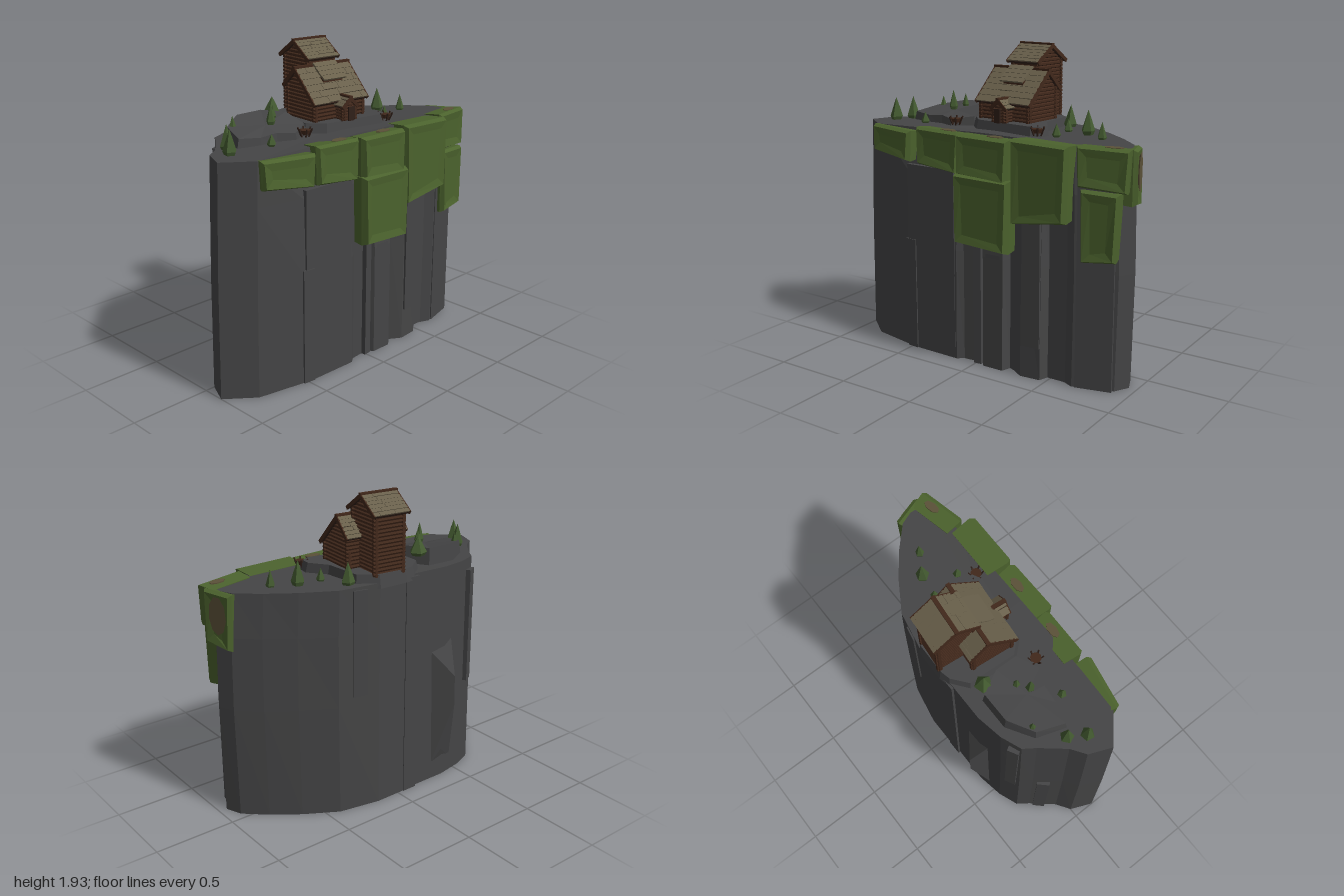
import * as THREE from 'three';
import { mergeGeometries } from 'three/addons/utils/BufferGeometryUtils.js';
import { ConvexGeometry } from 'three/addons/geometries/ConvexGeometry.js';

const mat = (name, color) => Object.assign(new THREE.MeshStandardMaterial({ color, flatShading: true }), { name });

export function createModel() {
  const model = new THREE.Group();
  const rock = mat('rock', 0x454546), moss = mat('moss', 0x4b622d), earth = mat('earth', 0x5b5138);
  const pine = mat('pine', 0x435a30), wood = mat('wood', 0x41281b), dark = mat('darkWood', 0x302019);
  const shingle = mat('shingle', 0x69604b);

  let seed = 7;
  const rnd = () => (seed = (seed * 16807) % 2147483647) / 2147483647;

  const add = (parent, name, geo, m) => {
    const mesh = new THREE.Mesh(geo, m);
    mesh.name = name;
    parent.add(mesh);
    return mesh;
  };
  const addGroup = (parent, name) => {
    const g = new THREE.Group();
    g.name = name;
    parent.add(g);
    return g;
  };

  // Skin through equal rings of [x, y, z], clockwise seen from the last ring; fan caps at both ends
  function loft(rings) {
    const pos = [], n = rings[0].length;
    const mid = r => [0, 1, 2].map(k => r.reduce((s, p) => s + p[k], 0) / n);
    const first = rings[0], last = rings[rings.length - 1];
    const c0 = mid(first), c1 = mid(last);
    for (let i = 0; i < n; i++) {
      const j = (i + 1) % n;
      for (let k = 0; k + 1 < rings.length; k++) {
        const a = rings[k], b = rings[k + 1];
        pos.push(...a[i], ...b[i], ...b[j], ...a[i], ...b[j], ...a[j]);
      }
      pos.push(...c0, ...first[i], ...first[j], ...c1, ...last[j], ...last[i]);
    }
    const g = new THREE.BufferGeometry();
    g.setAttribute('position', new THREE.Float32BufferAttribute(pos, 3));
    g.computeVertexNormals();
    return g;
  }

  // Cliff body with a jagged front; its top falls slightly toward both ends
  const outline = [[-1, 0.14], [-0.94, 0], [-0.85, -0.06], [-0.73, -0.2], [-0.68, -0.27], [-0.55, -0.32],
    [-0.38, -0.35], [-0.13, -0.35], [-0.07, -0.36], [0.16, -0.36], [0.42, -0.31], [0.62, -0.19], [0.78, -0.07],
    [0.91, 0.05], [0.95, 0.15], [0.9, 0.24], [0.66, 0.32], [0.6, 0.29], [0.48, 0.29], [0.46, 0.35], [0.33, 0.36],
    [0.25, 0.31], [0.22, 0.3], [0.2, 0.36], [0.06, 0.36], [0.04, 0.32], [-0.1, 0.33], [-0.14, 0.36], [-0.53, 0.34], [-0.83, 0.28]];
  // Height, scale of the left half, scale of the right half, front limit
  const levels = [[0, 1, 1, 0.36], [0.7, 0.99, 1.01, 0.355], [1.15, 0.975, 1, 0.33], [1.435, 0.965, 0.975, 0.29]];
  add(model, 'cliff', loft(levels.map(([y, left, right, zMax]) => outline.map(([x, z]) =>
    [x * (x < 0 ? left : right), y > 1.4 ? y - 0.022 * Math.abs(x) : y, Math.min(z, zMax)]))), rock);

  // Rock spur on the back
  add(model, 'rockSpur', new ConvexGeometry([[-0.46, 0.1, -0.33], [-0.28, 0.1, -0.345], [-0.35, 0.2, -0.37],
    [-0.37, 0.42, -0.405], [-0.39, 0.53, -0.44], [-0.385, 0.73, -0.44], [-0.36, 0.84, -0.38], [-0.44, 0.95, -0.335],
    [-0.26, 0.9, -0.345]].map(p => new THREE.Vector3(...p))), rock);

  // Split columns and slabs against the cliff faces: x, z, width, depth, bottom, top, turn
  [[-0.33, 0.32, 0.36, 0.07, 0, 1.2, -0.03], [-0.49, 0.32, 0.08, 0.07, 0, 0.72, -0.1], [0.01, 0.32, 0.05, 0.06, 0, 0.75, 0.1],
    [0.13, 0.325, 0.1, 0.06, 0, 0.72, 0], [0.4, 0.33, 0.12, 0.07, 0.2, 0.97, 0.05], [0.78, 0.265, 0.22, 0.06, 0, 1.2, 0.24],
    [-0.61, -0.275, 0.07, 0.08, 0.6, 1.35, 0.5], [-0.76, -0.14, 0.08, 0.06, 0, 0.65, 0.8],
    [0.28, -0.315, 0.09, 0.06, 0.75, 1.41, -0.2], [-0.09, -0.335, 0.1, 0.06, 0, 1.42, 0]]
    .forEach(([x, z, w, d, y0, y1, turn]) => {
      const m = add(model, 'rockColumn', new THREE.BoxGeometry(w, y1 - y0, d), rock);
      m.position.set(x, (y0 + y1) / 2, z);
      m.rotation.y = turn;
    });

  // Raised ground: each step is an outline lifted to a height
  const step = (name, pts, y) => {
    const cx = pts.reduce((s, p) => s + p[0], 0) / pts.length, cz = pts.reduce((s, p) => s + p[1], 0) / pts.length;
    add(model, name, loft([pts.map(([x, z]) => [x, 1.4, z]),
      pts.map(([x, z, h = y]) => [cx + (x - cx) * 0.94, h, cz + (z - cz) * 0.94])]), rock);
  };
  step('houseTerrace', [[-0.23, 0.04], [-0.21, -0.28], [-0.11, -0.36], [-0.04, -0.375], [0.16, -0.37],
    [0.27, -0.28], [0.28, -0.02], [0.36, 0.1], [0.35, 0.17], [0.29, 0.2], [-0.14, 0.14]], 1.48);
  step('leftMound', [[-0.72, 0.01, 1.47], [-0.66, -0.17, 1.5], [-0.5, -0.27], [-0.3, -0.27], [-0.22, -0.12],
    [-0.21, 0.04, 1.48], [-0.35, 0.11, 1.46], [-0.46, 0.06, 1.47], [-0.58, 0.05, 1.46]], 1.53);

  // Moss blocks: x, z (back), turn, width, bottom, top, depth, lower corner shifts (left, right)
  const mossBlocks = [[-0.615, 0.25, -0.2, 0.35, 1.22, 1.42, 0.12, 0.03, 0], [-0.265, 0.27, -0.03, 0.33, 1.18, 1.44, 0.11, 0.03, 0],
    [0.08, 0.28, 0, 0.37, 1.17, 1.435, 0.14, 0.02, 0], [0.085, 0.28, 0, 0.39, 0.755, 1.2, 0.16, 0.02, 0],
    [0.47, 0.27, -0.02, 0.38, 0.94, 1.44, 0.15, 0, 0.05], [0.81, 0.22, 0.2, 0.31, 1.18, 1.435, 0.11, 0.02, 0],
    [0.81, 0.24, 0.12, 0.23, 0.77, 1.19, 0.11, 0, 0.02], [0.86, 0.15, 1.88, 0.2, 1.07, 1.42, 0.11, 0.03, 0]];
  mossBlocks.forEach(([x, z, turn, w, y0, y1, d, lo, hi], i) => {
    const ring = (dz, inset, tip) => [[-w / 2 + inset, y1 - inset, dz], [w / 2 - inset, y1 - inset - 0.008, dz],
      [w / 2 - inset - 0.012, y0 + hi + inset, dz + tip], [-w / 2 + inset + 0.008, y0 + lo + inset, dz + tip]];
    const g = addGroup(model, 'mossBlock');
    g.position.set(x, 0, z);
    g.rotation.y = turn;
    add(g, 'mossBody', loft([ring(-0.03, 0.012, 0), ring(d * 0.72, 0, 0), ring(d - 0.008, 0.014, 0.006),
      ring(d - 0.013, 0.06, 0)]), moss);
    // Bare earth showing through on some tops and on the end block
    if (i === 1 || i === 2 || i === 5) {
      const p = add(g, 'earthPatch', new THREE.CylinderGeometry(0.028, 0.028, 0.007, 7), earth);
      p.scale.x = 2;
      p.position.set(w * 0.15, y1 - 0.007, d * 0.4);
    }
    if (i === 7) {
      const p = add(g, 'earthPatch', new THREE.CylinderGeometry(0.065, 0.055, 0.008, 9), earth);
      p.rotation.x = Math.PI / 2;
      p.scale.z = 1.8;
      p.position.set(0.01, 1.28, d - 0.006);
    }
  });

  // Pines: x, z, ground, tip, radius
  [[-0.76, -0.03, 1.41, 1.56, 0.042], [-0.82, 0.07, 1.41, 1.56, 0.042], [-0.61, -0.16, 1.47, 1.56, 0.025],
    [-0.55, 0.11, 1.42, 1.49, 0.028], [-0.43, -0.03, 1.5, 1.625, 0.028], [-0.37, -0.08, 1.52, 1.6, 0.022],
    [-0.25, -0.22, 1.49, 1.61, 0.055], [0.305, -0.25, 1.42, 1.56, 0.042], [0.38, -0.09, 1.42, 1.5, 0.027],
    [0.525, -0.07, 1.42, 1.57, 0.042], [0.41, 0.1, 1.42, 1.5, 0.027], [0.66, 0.01, 1.41, 1.52, 0.028]]
    .forEach(([x, z, y0, y1, r]) => {
      const h = y1 - y0;
      const t = add(model, 'pine', new THREE.LatheGeometry(
        [[0, 0], [r * 0.75, 0], [r, h * 0.17], [r * 0.5, h * 0.6], [0, h]].map(p => new THREE.Vector2(...p)), 5), pine);
      t.position.set(x, y0, z);
      t.rotation.y = x * 9;
    });

  // Log fire baskets
  [[-0.3, 0.12], [0.33, 0.18]].forEach(([x, z]) => {
    const g = addGroup(model, 'fireBasket');
    g.position.set(x, 1.43, z);
    add(g, 'basket', new THREE.CylinderGeometry(0.034, 0.024, 0.025, 8), wood).position.y = 0.03;
    for (let i = 0; i < 6; i++) {
      const a = i * Math.PI / 3, leg = add(g, 'basketLeg', new THREE.BoxGeometry(0.007, 0.055, 0.007), dark);
      leg.position.set(Math.cos(a) * 0.034, 0.028, Math.sin(a) * 0.034);
      leg.rotation.set(Math.sin(a) * 0.4, 0, -Math.cos(a) * 0.4);
    }
  });

  // Log building with a plank roof, ridge along x at z = 0
  function logHouse(name, { hx, zb, zf, y0, ridge, slope, over = 0.025, r = 0.0115, courses = 6 }) {
    const g = addGroup(model, name), logs = [], planks = [];
    const log = (len, x, y, z, alongX) => {
      const c = new THREE.CylinderGeometry(r, r, len, 6);
      if (alongX) c.rotateZ(Math.PI / 2); else c.rotateX(Math.PI / 2);
      logs.push(c.translate(x, y, z));
    };
    // Walls and gables
    for (let y = y0 + r; y < ridge - 0.02; y += r * 1.95) {
      const reach = (ridge - y) / slope - 0.012, b = Math.max(zb, -reach), f = Math.min(zf, reach);
      for (const s of [-1, 1]) log(f - b + (f === zf ? 0.035 : 0), s * hx, y, (b + f) / 2, false);
      if (f === zf) log(hx * 2 + 0.035, 0, y + r * 0.4, f, true);
      if (b === zb) log(hx * 2 + 0.035, 0, y + r * 0.4, b, true);
    }
    add(g, 'logWalls', mergeGeometries(logs), wood);
    const top = z => ridge - 0.015 - slope * Math.abs(z);
    const section = new THREE.Shape([[-zf, y0], [-zb, y0], [-zb, top(zb)], [0, top(0)], [-zf, top(zf)]].map(p => new THREE.Vector2(...p)));
    const core = new THREE.ExtrudeGeometry(section, { depth: hx * 2, bevelEnabled: false });
    add(g, 'wallCore', core.translate(0, 0, -hx).rotateY(Math.PI / 2), dark);
    // Roof boards under rows of uneven planks
    const a = Math.atan(slope), L = hx + over;
    for (const [s, run] of [[1, zf + over], [-1, over - zb]]) {
      const len = run / Math.cos(a), w = len / courses;
      const slab = add(g, 'roofBoards', new THREE.BoxGeometry(L * 2, 0.012, len), dark);
      slab.position.set(0, ridge - run * slope / 2 - 0.004, s * run / 2);
      slab.rotation.x = s * a;
      for (let k = 0; k < courses; k++) {
        for (let x = -L; x < L - 0.01;) {
          const pl = Math.min(0.07 + rnd() * 0.14, L - x), d = (k + 0.5) * w + rnd() * 0.005;
          planks.push(new THREE.BoxGeometry(pl - 0.002, 0.007, w * (0.92 + rnd() * 0.14)).rotateX(s * (a - 0.06))
            .translate(x + pl / 2, ridge + 0.007 - d * Math.sin(a), s * (d * Math.cos(a) + 0.004)));
          x += pl;
        }
      }
      // Barge boards on the gable edges
      for (const e of [-1, 1]) {
        const board = add(g, 'bargeBoard', new THREE.BoxGeometry(0.01, 0.022, len + 0.01), wood);
        board.position.set(e * L, ridge - run * slope / 2, s * run / 2);
        board.rotation.x = s * a;
      }
    }
    add(g, 'roofPlanks', mergeGeometries(planks), shingle);
    add(g, 'ridgeBeam', new THREE.BoxGeometry(L * 2 + 0.012, 0.016, 0.024), wood).position.y = ridge + 0.008;
    return g;
  }
  const hall = logHouse('hall', { hx: 0.182, zb: -0.085, zf: 0.165, y0: 1.475, ridge: 1.775, slope: 1 });
  hall.position.set(0.045, 0, -0.095);
  hall.rotation.y = -0.1;
  const tower = logHouse('tower', { hx: 0.092, zb: -0.112, zf: 0.112, y0: 1.46, ridge: 1.915, slope: 0.68, over: 0.028 });
  tower.position.set(0.068, 0, -0.228);
  tower.rotation.y = -0.1;
  const porch = logHouse('porch', { hx: 0.05, zb: -0.04, zf: 0.04, y0: 1.475, ridge: 1.61, slope: 0.9, over: 0.015, r: 0.009, courses: 3 });
  porch.position.set(0.045, 0, 0.095);
  porch.rotation.y = -0.1 + Math.PI / 2;

  // Door and dormer on the hall
  add(hall, 'door', new THREE.BoxGeometry(0.046, 0.085, 0.008), dark).position.set(0.02, 1.52, 0.262);
  add(hall, 'dormerWall', new THREE.BoxGeometry(0.15, 0.08, 0.08), wood).position.set(0.01, 1.68, 0.06);
  for (let k = 0; k < 4; k++) {
    const row = add(hall, 'dormerPlank', new THREE.BoxGeometry(0.165 + rnd() * 0.02, 0.011, 0.036), shingle);
    row.position.set(0.01, 1.787 - k * 0.022, 0.025 + k * 0.028);
    row.rotation.x = 0.6;
  }
  return model;
}
